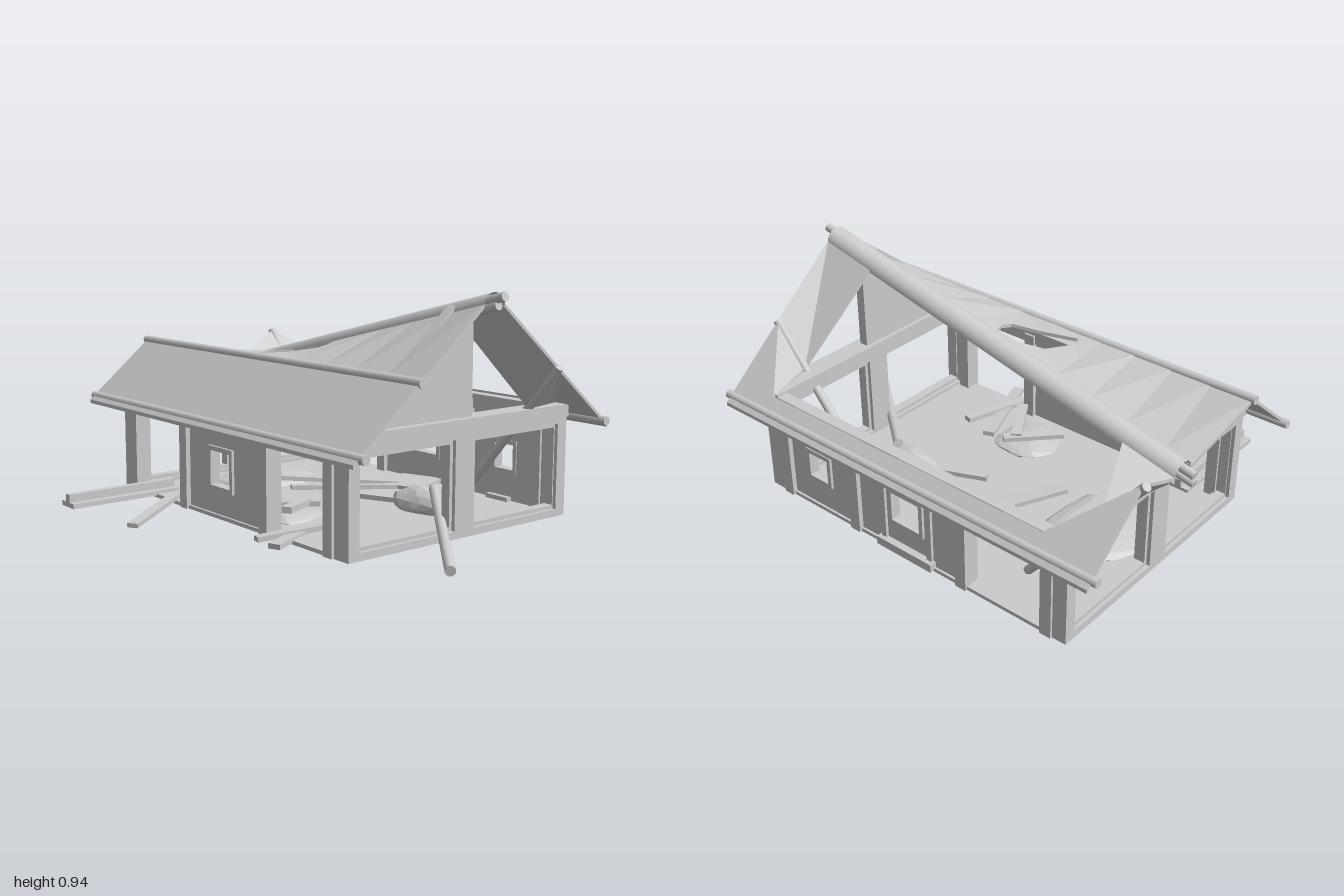
import * as THREE from 'three';

const mat = new THREE.MeshStandardMaterial({ color: 0xcccccc });
const flat = new THREE.MeshStandardMaterial({ color: 0xcccccc, flatShading: true });
const sheetMat = new THREE.MeshStandardMaterial({ color: 0xcccccc, flatShading: true, side: THREE.DoubleSide });

export function createModel() {
  const model = new THREE.Group();
  const add = (name, geo, m = mat) => {
    const mesh = new THREE.Mesh(geo, m);
    mesh.name = name;
    model.add(mesh);
    return mesh;
  };
  // Axis-aligned box from its two extreme corners
  const box = (name, x0, x1, y0, y1, z0, z1) =>
    add(name, new THREE.BoxGeometry(x1 - x0, y1 - y0, z1 - z0))
      .position.set((x0 + x1) / 2, (y0 + y1) / 2, (z0 + z1) / 2);
  // Round beam between two points
  const beam = (name, a, b, r = 0.018) => {
    const p = new THREE.Vector3(...a), q = new THREE.Vector3(...b), d = q.clone().sub(p);
    const mesh = add(name, new THREE.CylinderGeometry(r, r, d.length(), 12));
    mesh.position.copy(p).add(q).multiplyScalar(0.5);
    mesh.quaternion.setFromUnitVectors(new THREE.Vector3(0, 1, 0), d.normalize());
  };
  // Plank between two points, lying flat
  const plank = (name, a, b, w, h) => {
    const p = new THREE.Vector3(...a), q = new THREE.Vector3(...b);
    const mesh = add(name, new THREE.BoxGeometry(w, h, p.distanceTo(q)));
    mesh.position.copy(p).add(q).multiplyScalar(0.5);
    mesh.lookAt(q);
  };
  // Thin roof sheet: convex polygon with a downward thickness
  const sheet = (name, pts, t = 0.015) => {
    const pos = [], low = pts.map(([x, y, z]) => [x, y - t, z]), n = pts.length;
    const tri = (...v) => v.forEach((p) => pos.push(...p));
    for (let i = 1; i < n - 1; i++) {
      tri(pts[0], pts[i], pts[i + 1]);
      tri(low[0], low[i + 1], low[i]);
    }
    for (let i = 0; i < n; i++) {
      const j = (i + 1) % n;
      tri(pts[i], low[i], low[j]);
      tri(pts[i], low[j], pts[j]);
    }
    const g = new THREE.BufferGeometry();
    g.setAttribute('position', new THREE.Float32BufferAttribute(pos, 3));
    g.computeVertexNormals();
    add(name, g, sheetMat);
  };

  // Floor
  box('floor', -0.41, 0.71, 0.02, 0.035, -0.83, 0.69);

  // Front and back walls: sill, lintel, posts and recessed window frames
  for (const [side, z0, z1] of [['front', 0.62, 0.69], ['back', -0.83, -0.76]]) {
    box(side + 'Sill', -0.41, 0.71, 0.02, 0.05, z0, z1);
    box(side + 'Lintel', -0.41, 0.71, 0.395, 0.425, z0, z1);
    box(side + 'TopPlate', -0.41, 0.71, 0.42, 0.47, z0 - 0.01, z1 + 0.01);
    box(side + 'MiddlePost', 0.1, 0.2, 0.02, 0.44, z0, z1);
    for (const [x0, x1] of [[-0.37, 0.1], [0.2, 0.67]]) {
      for (const y of [0.045, 0.378]) box(side + 'WindowRail', x0, x1, y, y + 0.02, z0 + 0.015, z1 - 0.015);
      for (const x of [x0 - 0.005, x1 - 0.015]) box(side + 'WindowStile', x, x + 0.02, 0.05, 0.395, z0 + 0.015, z1 - 0.015);
    }
  }

  // Side walls: posts and top plates
  for (const [side, x0, x1] of [['left', 0.66, 0.71], ['right', -0.41, -0.36]]) {
    box(side + 'TopPlate', x0, x1, 0.4, 0.46, -0.83, 0.69);
    box(side + 'FrontCornerPost', x0, x1, 0.02, 0.44, 0.6, 0.69);
    box(side + 'BackCornerPost', x0, x1, 0.02, 0.44, -0.83, -0.75);
    for (const z of [0.585, 0.2, -0.35, -0.745])
      box(side + 'Post', x0 - 0.01, x1 + 0.01, 0.02, 0.44, z - 0.025, z + 0.025);
  }
  // Wall panel with a framed window, spanning z0..z1
  const wallPanel = (name, x, z0, z1, w0, w1, y0, y1, out) => {
    const rect = (C, a, b, c, d) => new C([[a, c], [b, c], [b, d], [a, d]].map((p) => new THREE.Vector2(...p)));
    const cut = (n, outer, hole, depth, xo) => {
      const s = rect(THREE.Shape, ...outer);
      s.holes.push(rect(THREE.Path, ...hole));
      const g = new THREE.ExtrudeGeometry(s, { depth, bevelEnabled: false }).rotateY(-Math.PI / 2);
      add(n, g.translate(xo + depth / 2, 0, 0));
    };
    cut(name, [z0, z1, 0.02, 0.43], [w0, w1, y0, y1], 0.03, x);
    cut(name + 'Frame', [w0 - 0.018, w1 + 0.018, y0 - 0.018, y1 + 0.018], [w0, w1, y0, y1], 0.045, x + out * 0.004);
  };
  wallPanel('leftWindowWall', 0.685, 0.22, 0.6, 0.35, 0.45, 0.165, 0.27, 1);
  wallPanel('leftDoorWall', 0.685, -0.34, 0.19, -0.14, 0, 0.16, 0.285, 1);
  wallPanel('rightWindowWall', -0.385, -0.34, 0.19, -0.16, -0.03, 0.15, 0.29, -1);
  // Door surround and step
  for (const z of [-0.2, 0.035]) box('doorJamb', 0.69, 0.712, 0.04, 0.38, z, z + 0.025);
  box('doorHead', 0.69, 0.712, 0.355, 0.38, -0.2, 0.06);
  box('doorStep', 0.68, 0.73, 0.025, 0.06, -0.21, 0.07);

  // Half of the front gable is still standing
  const gable = new THREE.Shape([[-0.39, 0.47], [0.18, 0.47], [0.18, 0.87], [0.15, 0.89], [0.1, 0.88]]
    .map((p) => new THREE.Vector2(...p)));
  add('frontGable', new THREE.ExtrudeGeometry(gable, { depth: 0.04, bevelEnabled: false }).translate(0, 0, 0.63));
  box('gablePost', 0.175, 0.2, 0.47, 0.86, 0.63, 0.67);

  // Roof: the ridge sinks towards the back, so the upper slope twists
  const ridge = (z) => 0.9 + 0.24 * (z - 0.82);
  const slope = (x, z) => [x, 0.65 + ((x + 0.2) / 0.3) * (ridge(z) - 0.65), z];
  sheet('rightLowerRoof', [[-0.5, 0.4, 0.82], [-0.2, 0.65, 0.82], [-0.2, 0.65, -0.975], [-0.5, 0.4, -0.975]]);
  const rows = [-0.975, -0.8, -0.63, -0.46, -0.3, 0.1, 0.28, 0.46, 0.64, 0.82];
  for (let i = 0; i < rows.length - 1; i++) {
    const a = rows[i], b = rows[i + 1];
    if (a === -0.3) continue;
    const cornerZ = i ? a : -0.91;
    sheet('rightUpperRoof', [slope(-0.2, a), slope(-0.2, b), slope(0.1, b), slope(0.1, cornerZ)]);
  }
  // Ring of roof around the ragged hole
  const outer = [[-0.2, -0.3], [-0.05, -0.3], [0.1, -0.3], [0.1, -0.1], [0.1, 0.1], [-0.03, 0.1], [-0.2, 0.1], [-0.2, -0.1]];
  const inner = [[-0.15, -0.21], [-0.11, -0.23], [0.01, -0.17], [0.06, -0.08], [0.07, 0.02], [0.02, 0.04], [-0.03, 0.03], [-0.09, -0.08]];
  outer.forEach((o, i) => {
    const j = (i + 1) % outer.length;
    sheet('roofHoleRing', [o, outer[j], inner[j], inner[i]].map((p) => slope(...p)));
  });
  // Broken left slope: sagging ends and a strip along the eave
  const brokenEnd = (name, z, ridgeZ, dz, ez, fz) => {
    const purlin = [0.5, 0.65, z], sag = [0.5, 0.48, ez], eaveIn = [0.72, 0.467, fz];
    const top = [0.2, ridge(ridgeZ), ridgeZ], topIn = [0.2, ridge(dz), dz];
    sheet(name, [top, purlin, sag]);
    sheet(name, [top, sag, topIn]);
    sheet(name, [purlin, [0.8, 0.4, z], eaveIn]);
    sheet(name, [purlin, eaveIn, sag]);
  };
  brokenEnd('frontBrokenRoof', 0.82, 0.82, 0.58, 0.68, 0.62);
  brokenEnd('backBrokenRoof', -0.975, -0.91, -0.68, -0.82, -0.73);
  sheet('leftEaveStrip', [[0.8, 0.4, 0.82], [0.72, 0.467, 0.62], [0.72, 0.467, -0.73], [0.8, 0.4, -0.975]]);

  // Rounded ridge cap, sheared along the sinking ridge
  const cap = new THREE.CylinderGeometry(0.055, 0.055, 1.73, 16, 1, true, -Math.PI / 2, Math.PI).rotateX(-Math.PI / 2);
  const cp = cap.attributes.position;
  for (let i = 0; i < cp.count; i++) {
    const z = cp.getZ(i) - 0.045;
    cp.setXYZ(i, cp.getX(i) + 0.15, Math.abs(cp.getY(i)) + ridge(z) - 0.015, z);
  }
  cap.computeVertexNormals();
  add('ridgeCap', cap, new THREE.MeshStandardMaterial({ color: 0xcccccc, side: THREE.DoubleSide }));

  // Roof beams, the left purlin snapped into two fallen pieces
  for (const dy of [0.015, -0.018])
    beam('ridgeBeam', [0.15, ridge(0.87) + dy, dy > 0 ? 0.87 : 0.84], [0.15, ridge(-0.96) + dy, -0.96]);
  beam('rightPurlin', [-0.2, 0.645, 0.83], [-0.2, 0.645, -0.985]);
  for (const x of [-0.465, 0.765]) beam('eaveBeam', [x, 0.415, 0.845], [x, 0.415, -0.995]);
  beam('frontFallenPurlin', [0.5, 0.645, 0.825], [0.5, 0.04, 0.31]);
  beam('backFallenPurlin', [0.5, 0.645, -0.985], [0.5, 0.04, -0.49]);

  // Rubble: irregular boulder and low mounds
  const rubble = (name, x, y, z, sx, sy, sz) => {
    const g = new THREE.IcosahedronGeometry(1, 2), p = g.attributes.position;
    for (let i = 0; i < p.count; i++) {
      const a = p.getX(i), b = p.getY(i), c = p.getZ(i);
      const k = 1 + 0.1 * Math.sin(4 * a + 2 * c) * Math.cos(3 * b + 3 * c);
      p.setXYZ(i, x + a * k * sx, Math.max(0.012, y + b * k * sy), z + c * k * sz);
    }
    add(name, g, flat);
  };
  rubble('boulder', 0.31, 0.05, 0.31, 0.1, 0.075, 0.17);
  rubble('largeMound', 0.13, 0.03, -0.53, 0.22, 0.05, 0.2);
  rubble('smallMound', -0.19, 0.03, 0.07, 0.14, 0.035, 0.14);

  // Fallen logs and boards
  beam('frontLog', [-0.205, 0.025, 0.98], [0.29, 0.13, 0.38], 0.02);
  plank('outsideBoard', [-0.8, 0.038, -0.625], [-0.3, 0.038, -0.625], 0.1, 0.02);
  plank('outsideBoardTop', [-0.8, 0.063, -0.625], [-0.3, 0.063, -0.625], 0.03, 0.035);
  plank('slantingBoard', [-0.72, 0.015, -0.245], [-0.36, 0.045, -0.49], 0.045, 0.018);
  plank('sideBoard', [-0.5, 0.03, 0.38], [-0.1, 0.05, 0.22], 0.05, 0.02);
  plank('sideBoard', [-0.5, 0.035, 0.27], [-0.12, 0.06, 0.36], 0.04, 0.02);
  plank('brokenBoard', [-0.31, 0.1, 0.2], [-0.12, 0.085, 0.08], 0.045, 0.025);
  plank('brokenBoard', [-0.28, 0.07, -0.05], [-0.08, 0.08, 0.12], 0.04, 0.02);
  plank('floorBoard', [0.05, 0.09, -0.32], [0.49, 0.05, -0.06], 0.05, 0.018);
  plank('floorBoard', [0.05, 0.06, -0.24], [0.46, 0.045, -0.02], 0.035, 0.018);
  plank('floorBoard', [0.16, 0.06, 0.0], [0.29, 0.06, 0.3], 0.04, 0.02);
  plank('fallenDoor', [0.45, 0.045, 0.0], [0.65, 0.05, -0.07], 0.2, 0.015);
  plank('wallBoard', [0.65, 0.045, 0.33], [0.65, 0.045, 0.45], 0.025, 0.018);
  return model;
}
